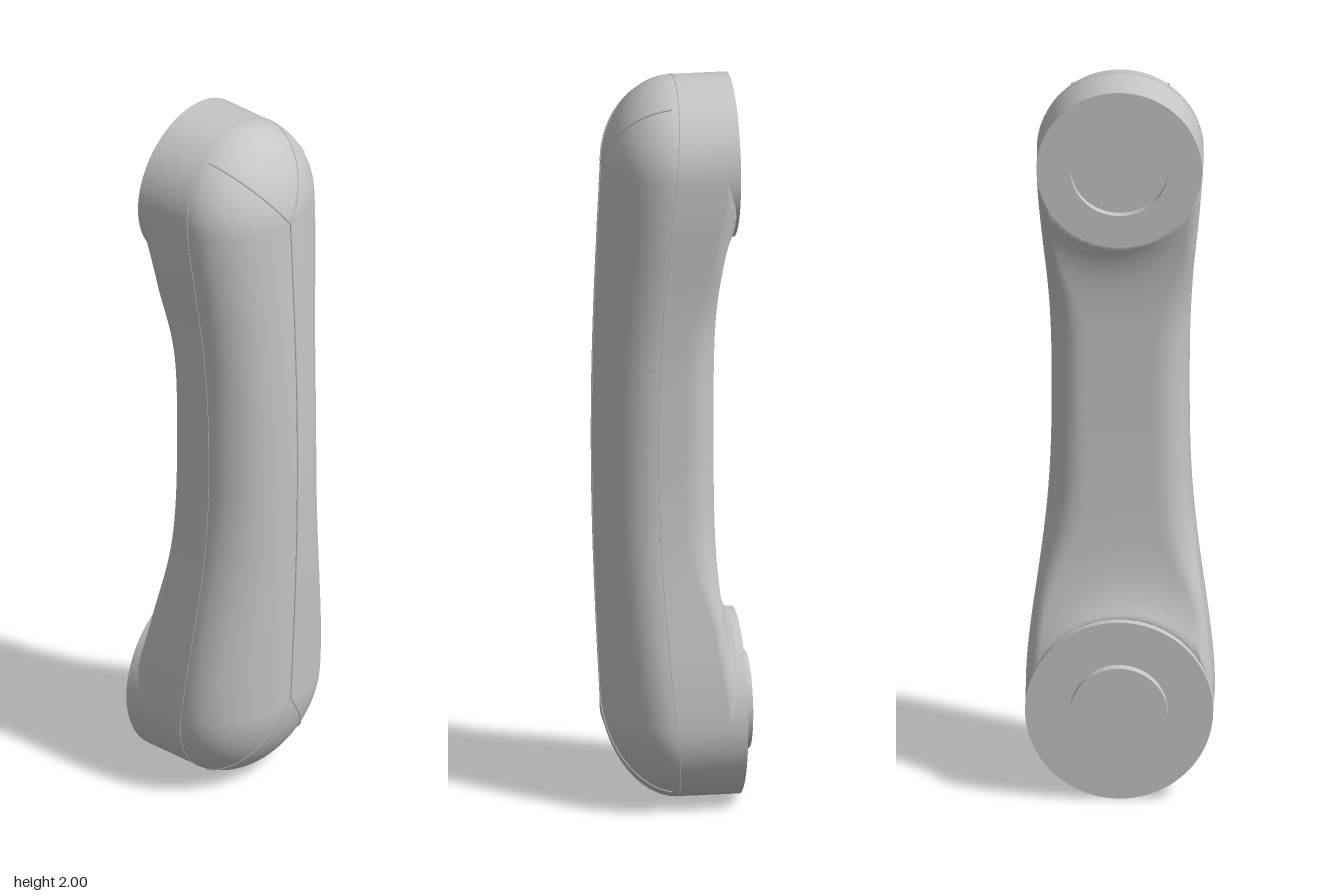
import * as THREE from 'three';
import { toCreasedNormals } from 'three/addons/utils/BufferGeometryUtils.js';

const LOW = { c: 0.25, r: 0.25 };   // lower rounded end
const TOP = { c: 1.78, r: 0.22 };   // upper rounded end
const WAIST = 1.1;

const cap = (y, e) => Math.sqrt(Math.max(0, 1 - ((y - e.c) / e.r) ** 2));
const ease = (t) => t * t * t * (4 - 3 * t);

// Half width of the outline at height y
function halfWidth(y) {
  if (y <= LOW.c) return LOW.r * cap(y, LOW);
  if (y >= TOP.c) return TOP.r * cap(y, TOP);
  return y < WAIST
    ? 0.182 + 0.068 * ease((WAIST - y) / (WAIST - LOW.c))
    : 0.182 + 0.038 * ease((y - WAIST) / (TOP.c - WAIST));
}

// Depth where the front shell meets the back shell
const splitZ = (y) => -0.015 + 0.065 * Math.sin(Math.PI * y / 2);

// Height of the front dome above the split
function frontRise(y) {
  const yc = THREE.MathUtils.clamp(y, LOW.c, TOP.c);
  const crown = 0.18 + 0.025 * Math.sin(Math.PI * (yc - LOW.c) / (TOP.c - LOW.c));
  const end = y < LOW.c ? cap(y, LOW) : y > TOP.c ? cap(y, TOP) : 1;
  return (crown - splitZ(yc)) * end;
}

function frontZ(x, y) {
  const q = x / Math.max(halfWidth(y), 1e-4);
  return splitZ(y) + frontRise(y) * Math.sqrt(Math.max(0, 1 - q * q));
}

const gapToPad = (x, y) => Math.min(
  Math.hypot(x, y - LOW.c) - LOW.r, Math.hypot(x, y - TOP.c) - TOP.r);

// Back surface: shallow in the grip, sweeping out to meet the two round pads
function backZ(x, y) {
  const gap = gapToPad(x, y);
  if (gap < 0) return -0.158 + 0.038 * Math.min(1, -gap / 0.06);
  return -0.107 - 0.051 * Math.exp(-gap / 0.085);
}

// One closed cross-section: front half ellipse, back with rounded corners
function section(y) {
  const w = Math.max(halfWidth(y), 0.0005), s = splitZ(y), pts = [];
  const near = Math.exp(-((Math.max(0, gapToPad(0, y)) / 0.16) ** 2));
  const rc = Math.min(0.085 * (1 - 0.65 * near), w * 0.9);
  for (let i = 0; i <= 40; i++) {
    const a = Math.PI * i / 40;
    pts.push([w * Math.cos(a), s + frontRise(y) * Math.sin(a)]);
  }
  const back = [];
  for (let i = 0; i <= 8; i++) {
    const a = Math.PI / 2 * i / 8;
    const x = w - rc + rc * Math.cos(a);
    back.push([x, backZ(x, y) + rc * (1 - Math.sin(a))]);
  }
  for (let i = 1; i <= 12; i++) {
    const x = (w - rc) * (1 - i / 12);
    back.push([x, backZ(x, y)]);
  }
  back.forEach(([x, z]) => pts.push([-x, z]));
  back.slice(0, -1).reverse().forEach((p) => pts.push(p));
  return pts;
}

function bodyGeometry() {
  const ys = [];
  for (let i = 0; i < 24; i++) ys.push(LOW.c - LOW.r * Math.cos(Math.PI / 2 * i / 24));
  for (let i = 0; i < 130; i++) ys.push(LOW.c + (TOP.c - LOW.c) * i / 130);
  for (let i = 0; i <= 24; i++) ys.push(TOP.c + TOP.r * Math.sin(Math.PI / 2 * i / 24));
  const pos = [], idx = [];
  let n = 0;
  ys.forEach((y) => {
    const ring = section(y);
    n = ring.length;
    ring.forEach(([x, z]) => pos.push(x, y, z));
  });
  for (let j = 0; j < ys.length - 1; j++) {
    for (let i = 0; i < n; i++) {
      const k = (i + 1) % n;
      const a = j * n + i, b = j * n + k, c = b + n, d = a + n;
      idx.push(a, d, b, b, d, c);
    }
  }
  const g = new THREE.BufferGeometry();
  g.setAttribute('position', new THREE.Float32BufferAttribute(pos, 3));
  g.setIndex(idx);
  g.computeVertexNormals();
  return g;
}

// Round pad turned about the z axis, facing backwards
function padGeometry(profile, y) {
  const g = new THREE.LatheGeometry(profile.map(([r, h]) => new THREE.Vector2(r, h)), 72);
  g.rotateX(-Math.PI / 2);
  g.translate(0, y, 0);
  return toCreasedNormals(g, 0.6);
}

export function createModel() {
  const group = new THREE.Group();
  const shell = new THREE.MeshStandardMaterial({ name: 'shell grey', color: 0xc6c6c6 });
  const add = (name, geometry) => {
    const m = new THREE.Mesh(geometry, shell);
    m.name = name;
    group.add(m);
  };

  add('body', bodyGeometry());

  // Upper pad with a round recess, lower pad with a raised boss
  add('upperPad', padGeometry(
    [[TOP.r, 0.01], [TOP.r, 0.165], [0.13, 0.165], [0.13, 0.14], [0, 0.14]], TOP.c));
  add('lowerPad', padGeometry(
    [[LOW.r, 0.01], [LOW.r, 0.18], [0.13, 0.18], [0.13, 0.21], [0, 0.21]], LOW.c));

  // Seams lying on the front surface, straight when seen from the front
  const addSeam = (name, x0, y0, x1, y1) => {
    const pts = [];
    for (let i = 0; i <= 32; i++) {
      const t = Math.sin(Math.PI / 2 * i / 32);
      const x = x0 + (x1 - x0) * t, y = y0 + (y1 - y0) * t;
      pts.push(new THREE.Vector3(x, y, frontZ(x, y)));
    }
    add(name, new THREE.TubeGeometry(new THREE.CatmullRomCurve3(pts), 64, 0.003, 4));
  };
  addSeam('centreSeam', 0, 0.27, 0, 1.77);
  for (const s of [1, -1]) {
    const side = s > 0 ? 'left' : 'right';
    addSeam(side + 'UpperSeam', 0, 1.77, s * 0.131, 1.955);
    addSeam(side + 'LowerSeam', 0, 0.27, s * 0.146, 0.049);
  }

  // Hairline joint between the front and back shells
  const joint = [];
  for (let i = 0; i < 120; i++) {
    const a = 2 * Math.PI * i / 120, y = 1 - Math.cos(a);
    joint.push(new THREE.Vector3(Math.sign(Math.sin(a)) * halfWidth(y), y, splitZ(y)));
  }
  add('shellJoint', new THREE.TubeGeometry(
    new THREE.CatmullRomCurve3(joint, true), 360, 0.0015, 4, true));

  // Small round studs laid onto the front surface
  const addStud = (x, y) => {
    const g = new THREE.RingGeometry(0, 0.013, 20, 5);
    const p = g.attributes.position;
    for (let i = 0; i < p.count; i++) {
      const py = y + p.getY(i), w = halfWidth(py);
      const px = THREE.MathUtils.clamp(x + p.getX(i), -w, w);
      p.setXYZ(i, px * 1.008, py, frontZ(px, py) + 0.002);
    }
    g.computeVertexNormals();
    add('stud', g);
  };
  const rows = [[0.195, 0.125], [0.215, 0.385], [0.187, 0.6], [0.175, 0.81], [0.17, 1.02],
    [0.17, 1.235], [0.177, 1.445], [0.193, 1.66], [0.178, 1.88]];
  rows.forEach(([x, y]) => [1, -1].forEach((s) => addStud(s * x, y)));
  addStud(0, 0.045);
  addStud(0, 1.955);

  return group;
}
